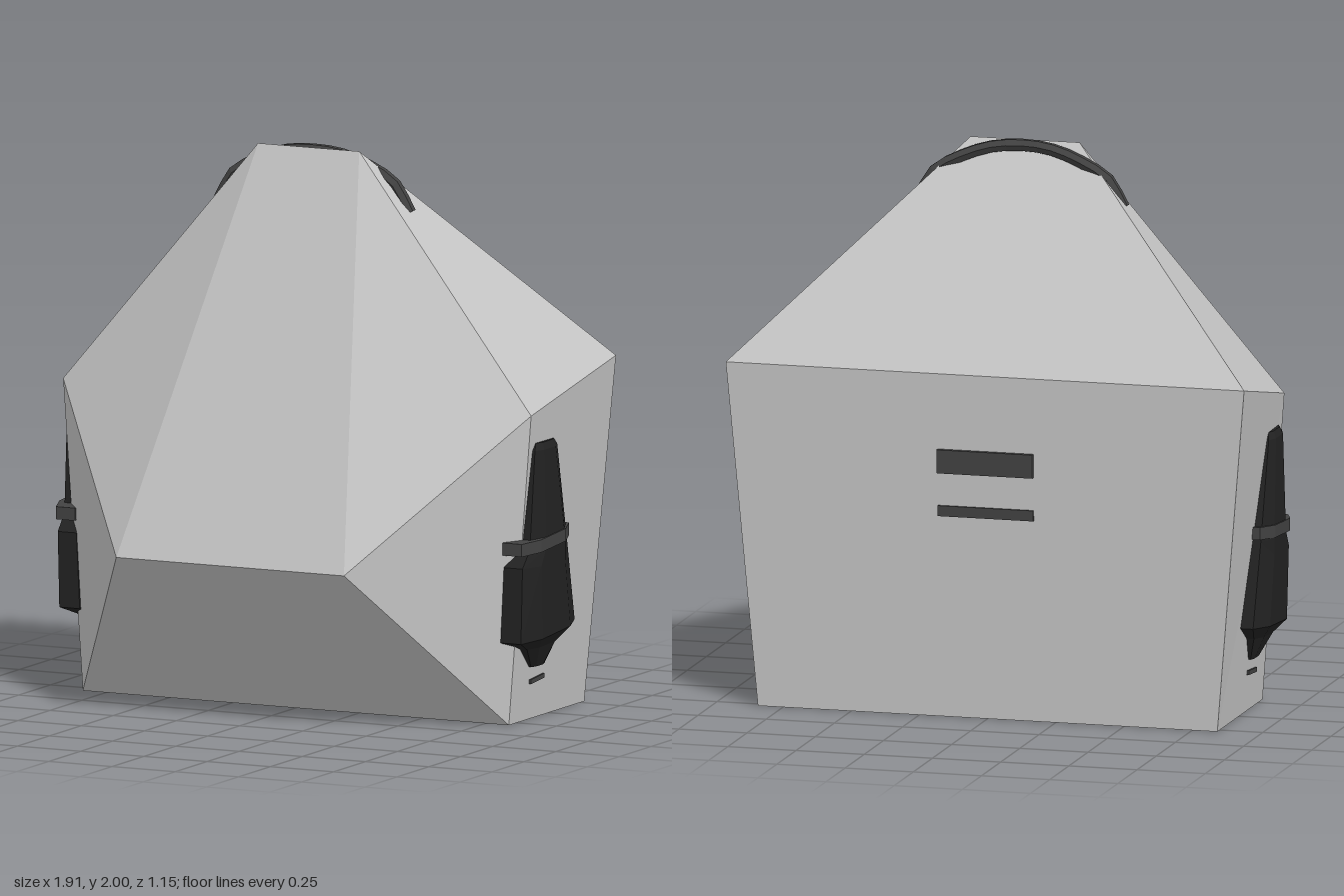
import * as THREE from 'three';

const shellMat = new THREE.MeshStandardMaterial({ color: 0xc4c4c4 });
shellMat.name = 'light grey shell';
const pouchMat = new THREE.MeshStandardMaterial({ color: 0x222222 });
pouchMat.name = 'black pouch';
const trimMat = new THREE.MeshStandardMaterial({ color: 0x424242 });
trimMat.name = 'dark grey trim';

// Flat-faced solid from polygons, each turned to face away from the centre
function solid(faces, centre) {
  const out = [];
  const c = new THREE.Vector3(...centre);
  for (const face of faces) {
    const p = face.map(v => new THREE.Vector3(...v));
    for (let i = 1; i < p.length - 1; i++) {
      const tri = [p[0], p[i], p[i + 1]];
      const n = tri[1].clone().sub(tri[0]).cross(tri[2].clone().sub(tri[0]));
      if (n.dot(tri[0].clone().sub(c)) < 0) tri.reverse();
      tri.forEach(v => out.push(v.x, v.y, v.z));
    }
  }
  const g = new THREE.BufferGeometry();
  g.setAttribute('position', new THREE.Float32BufferAttribute(out, 3));
  g.computeVertexNormals();
  return g;
}

function add(parent, name, geometry, material) {
  const m = new THREE.Mesh(geometry, material);
  m.name = name;
  parent.add(m);
  return m;
}

// Faceted shell
function shellGeometry() {
  const corner = s => ({
    top: [0.2 * s, 1.99, -0.04],
    back: [0.95 * s, 1.24, -0.565],
    side: [0.925 * s, 1.11, 0.05],
    nose: [0.45 * s, 0.58, 0.575],
    footFront: [0.842 * s, 0, 0.06],
    footBack: [0.842 * s, 0, -0.53],
  });
  const a = corner(1), b = corner(-1);
  const faces = [
    [a.top, b.top, b.nose, a.nose],
    [a.nose, b.nose, b.footFront, a.footFront],
    [a.top, b.top, b.back, a.back],
    [a.back, b.back, b.footBack, a.footBack],
    [a.footFront, b.footFront, b.footBack, a.footBack],
  ];
  for (const k of [a, b]) {
    faces.push(
      [k.top, k.side, k.nose],
      [k.top, k.side, k.back],
      [k.nose, k.side, k.footFront],
      [k.side, k.back, k.footBack, k.footFront]);
  }
  return solid(faces, [0, 0.9, -0.05]);
}

// Loft of chamfered sections: [y, front z, back z, inner x, outer x, rise to the back]
function loft(sections, s) {
  const rings = sections.map(([y, zf, zb, xi, xo, rise = 0]) => {
    const w = zf - zb, mid = xi + (xo - xi) * 0.7;
    return [[xi, 0], [mid, 0], [xo, 0.24], [xo, 0.76], [mid, 1], [xi, 1]]
      .map(([x, t]) => [x * s, y + rise * t, zf - w * t]);
  });
  const faces = [rings[0], rings[rings.length - 1]];
  for (let i = 0; i < rings.length - 1; i++) {
    for (let j = 0; j < 6; j++) {
      const k = (j + 1) % 6;
      faces.push([rings[i][j], rings[i][k], rings[i + 1][k], rings[i + 1][j]]);
    }
  }
  const [lo, hi] = [sections[0], sections[sections.length - 1]];
  return solid(faces, [0.895 * s, (lo[0] + hi[0] + (lo[5] || 0)) / 2, -0.08]);
}

// Tapered side pouch with its strap and a small tab below
function sidePouch(s) {
  const g = new THREE.Group();
  g.name = s > 0 ? 'leftPouch' : 'rightPouch';
  add(g, 'pouch', loft([
    [0.19, -0.07, -0.175, 0.845, 0.872],
    [0.265, 0.01, -0.22, 0.84, 0.91, 0.01],
    [0.3, 0.105, -0.315, 0.832, 0.947, 0.03],
    [0.57, 0.105, -0.255, 0.845, 0.95],
    [0.63, 0.05, -0.24, 0.85, 0.95],
    [0.98, 0.02, -0.155, 0.89, 0.94],
    [1.005, 0.0, -0.14, 0.89, 0.93],
  ], s), pouchMat);
  add(g, 'strap', loft([
    [0.615, 0.115, -0.255, 0.845, 0.953, 0.025],
    [0.66, 0.115, -0.255, 0.845, 0.953, 0.025],
  ], s), trimMat);
  const tab = add(g, 'tab', new THREE.BoxGeometry(0.02, 0.016, 0.105), trimMat);
  tab.position.set(0.85 * s, 0.14, -0.13);
  tab.rotation.x = 0.08;
  return g;
}

// Carry handle arching over the top, sunk into the shell beside each ridge
function handleGeometry() {
  const half = [[0.375, 1.775, -0.09], [0.315, 1.875, -0.088], [0.25, 1.915, -0.088], [0.12, 1.965, -0.08]];
  const pts = [
    ...half.map(([x, y, z]) => [-x, y, z]),
    [0, 1.977, -0.073],
    ...half.slice().reverse(),
  ].map(p => new THREE.Vector3(...p));
  const g = new THREE.TubeGeometry(new THREE.CatmullRomCurve3(pts), 16, 0.023, 6).toNonIndexed();
  g.computeVertexNormals();
  return g;
}

export function createModel() {
  const model = new THREE.Group();
  model.name = 'backpack';
  add(model, 'shell', shellGeometry(), shellMat);
  add(model, 'handle', handleGeometry(), trimMat);
  model.add(sidePouch(1), sidePouch(-1));

  // Two clips on the back panel, tilted with it
  for (const [name, y, h, z] of [['upperClip', 0.925, 0.085, -0.563], ['lowerClip', 0.745, 0.038, -0.55]]) {
    const clip = add(model, name, new THREE.BoxGeometry(0.35, h, 0.018), trimMat);
    clip.position.set(0, y, z);
    clip.rotation.x = -0.03;
  }
  return model;
}
